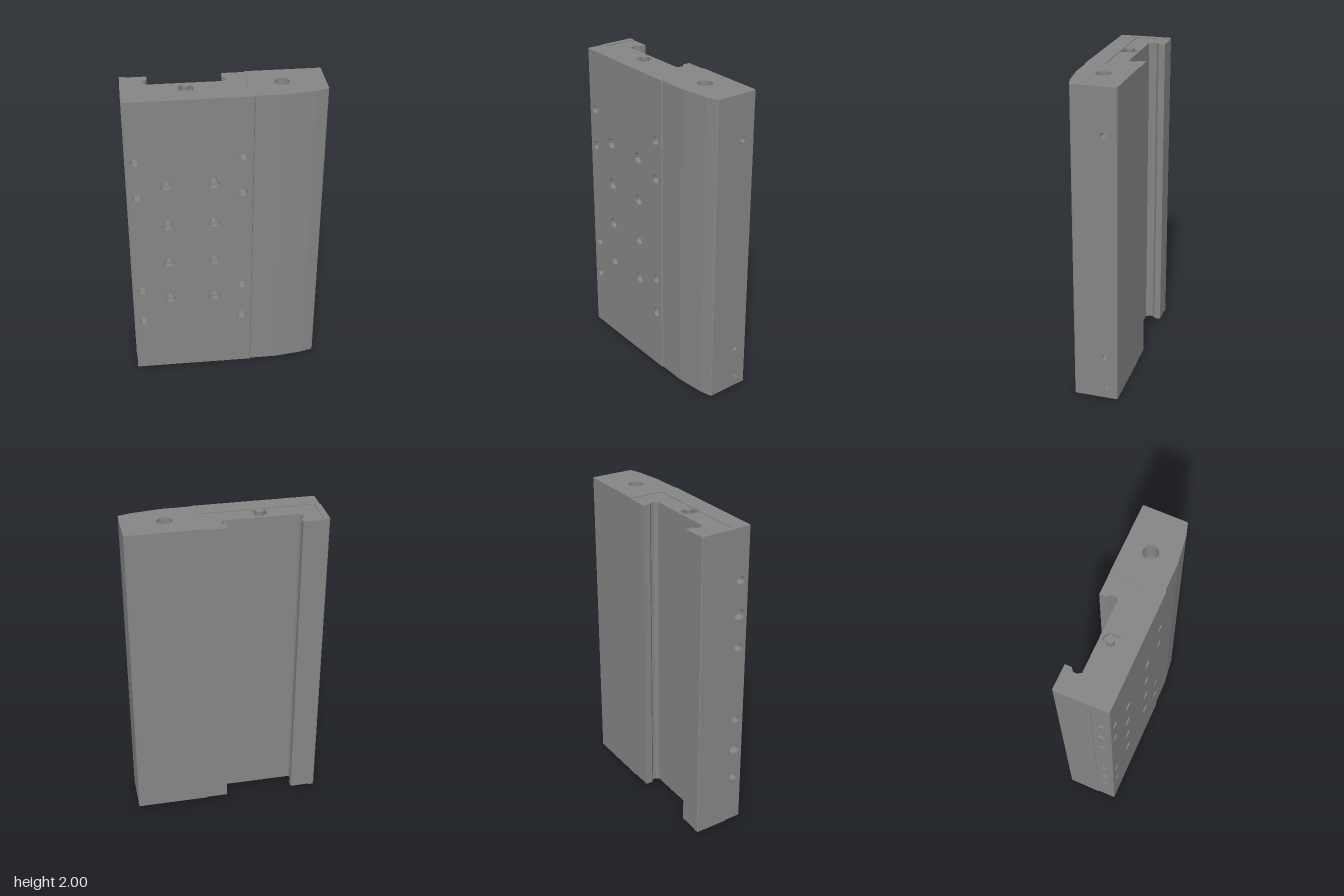
import * as THREE from 'three';
import { toCreasedNormals } from 'three/addons/utils/BufferGeometryUtils.js';

const mat = new THREE.MeshStandardMaterial({ color: 0x868686, side: THREE.DoubleSide });
const Y0 = 0.012, Y1 = 1.988, STEP = 0.005;

// Plan outlines as [x, z], counter-clockwise seen from above
const shell = [
  [-0.592, 0.157], [-0.586, 0.163], [0.16, 0.163], [0.165, 0.156], [0.34, 0.155], [0.52, 0.13],
  [0.592, 0.109], [0.597, 0.103], [0.597, -0.16], [0.592, -0.165], [0.14, -0.165], [0.14, 0.05],
  [-0.56, 0.05], [-0.56, -0.165], [-0.592, -0.165], [-0.597, -0.16], [-0.597, 0.05], [-0.592, 0.052],
];
const rail = [
  [-0.56, 0.05], [0.14, 0.05], [0.14, -0.165], [0.003, -0.165], [0.003, -0.12], [0.025, -0.1],
  [0.025, -0.08], [0.01, -0.06], [-0.445, -0.06], [-0.46, -0.085], [-0.46, -0.105],
  [-0.437, -0.125], [-0.437, -0.165], [-0.56, -0.165],
];

// D-shaped pocket around each end bolt
const BOLT_X = -0.218, pocketR = 0.0415;
const pocket = [[BOLT_X - pocketR, 0.046], [BOLT_X + pocketR, 0.046]];
for (let i = 0; i <= 16; i++) {
  const a = (i / 16) * Math.PI;
  pocket.push([BOLT_X + pocketR * Math.cos(a), -pocketR * Math.sin(a)]);
}

function add(parent, name, geometry) {
  const m = new THREE.Mesh(geometry, mat);
  m.name = name;
  parent.add(m);
  return m;
}

function circle(x, y, r) {
  return new THREE.Path().absarc(x, y, r, 0, Math.PI * 2, true);
}

// Stepped blind hole sunk along -z; steps are [radius, depth]
function bore(parent, x, y, steps) {
  const pts = [];
  let d = 0;
  for (const [r, depth] of steps) {
    pts.push(new THREE.Vector2(r, -d), new THREE.Vector2(r, -depth));
    d = depth;
  }
  pts.push(new THREE.Vector2(0, -d));
  const g = toCreasedNormals(new THREE.LatheGeometry(pts, 24), 0.6);
  g.rotateX(Math.PI / 2);
  add(parent, 'bore', g).position.set(x, y, 0);
}

// Upright panel from a to b, facing right of travel; holes are { at: [x, z], y, steps }
function wall(parent, name, a, b, y0, y1, holes = []) {
  const start = new THREE.Vector3(a[0], y0, a[1]);
  const u = new THREE.Vector3(b[0] - a[0], 0, b[1] - a[1]);
  const w = u.length(), h = y1 - y0;
  u.normalize();
  const up = new THREE.Vector3(0, 1, 0);
  const n = new THREE.Vector3().crossVectors(u, up);
  const panel = new THREE.Group();
  panel.name = name;
  panel.applyMatrix4(new THREE.Matrix4().makeBasis(u, up, n).setPosition(start));
  const shape = new THREE.Shape([[0, 0], [w, 0], [w, h], [0, h]].map(p => new THREE.Vector2(...p)));
  for (const { at, y, steps } of holes) {
    const s = (at[0] - a[0]) * u.x + (at[1] - a[1]) * u.z;
    shape.holes.push(circle(s, y - y0, steps[0][0]));
    bore(panel, s, y - y0, steps);
  }
  add(panel, name + 'Face', new THREE.ShapeGeometry(shape, 12));
  parent.add(panel);
}

// Both ends of the body, mirrored: side = 1 for the top, -1 for the bottom
function end(parent, side) {
  const g = new THREE.Group();
  g.name = side > 0 ? 'topEnd' : 'bottomEnd';
  g.rotation.x = -side * Math.PI / 2;
  g.position.y = side > 0 ? Y1 : Y0;
  const flat = pts => pts.map(([x, z]) => new THREE.Vector2(x, -side * z));

  const rim = new THREE.Shape(flat(shell));
  const hx = 0.342, hy = side * 0.008;
  rim.holes.push(circle(hx, hy, 0.046));
  add(g, 'endRim', new THREE.ShapeGeometry(rim, 12));
  const depth = side > 0 ? 0.14 : 0.012;
  bore(g, hx, hy, [[0.046, depth], [0.037, depth + 0.06]]);

  // Hex socket screw in the bore, shallow at the bottom
  const head = new THREE.Shape().absarc(0, 0, 0.033, 0, Math.PI * 2);
  head.holes.push(new THREE.Path(Array.from({ length: 6 }, (_, i) =>
    new THREE.Vector2(0.021 * Math.sin(i * Math.PI / 3), 0.021 * Math.cos(i * Math.PI / 3)))));
  add(g, 'socketScrew', new THREE.ExtrudeGeometry(head, { depth: 0.055, bevelEnabled: false }))
    .position.set(hx, hy, -depth - 0.06);

  // Slightly sunken end of the rail block with its bolt pocket
  const sunk = new THREE.Shape(flat(rail));
  sunk.holes.push(new THREE.Path(flat(pocket)));
  add(g, 'railEnd', new THREE.ShapeGeometry(sunk)).position.z = -STEP;
  add(g, 'pocketFloor', new THREE.ShapeGeometry(new THREE.Shape(flat(pocket)))).position.z = -STEP - 0.03;
  const bolt = new THREE.CylinderGeometry(0.028, 0.028, 0.052, 6).rotateX(Math.PI / 2);
  add(g, 'hexBolt', bolt).position.set(BOLT_X, 0, -0.014);
  parent.add(g);

  const level = side > 0 ? Y1 - STEP : Y0 + STEP;
  const floor = level - side * 0.03;
  pocket.forEach((p, i) => {
    const q = pocket[(i + 1) % pocket.length];
    wall(parent, 'pocketWall', q, p, Math.min(level, floor), Math.max(level, floor));
  });
}

export function createModel() {
  const model = new THREE.Group();
  model.name = 'slottedBlock';

  // Front: plain holes in the outer columns, counterbored ones between
  const front = [];
  for (const x of [-0.535, 0.102])
    for (const y of [1.6, 1.352, 0.652, 0.405]) front.push({ at: [x, 0.163], y, steps: [[0.027, 0.07]] });
  for (const x of [-0.358, -0.075])
    for (const y of [1.427, 1.143, 0.861, 0.579])
      front.push({ at: [x, 0.163], y, steps: [[0.033, 0.03], [0.021, 0.12]] });

  // Sides
  const left = [1.71, 0.295].map(y => ({ at: [0.597, -0.083], y, steps: [[0.017, 0.08]] }));
  left.push({ at: [0.597, -0.09], y: 0.083, steps: [[0.022, 0.005], [0.012, 0.06]] });
  const right = [1.67, 1.455, 1.245, 0.75, 0.537, 0.33].map((y, i) =>
    ({ at: [-0.592, 0.105], y, steps: [[i % 3 === 1 ? 0.033 : 0.026, 0.05]] }));
  const drilled = { 1: ['frontFace', front], 7: ['leftFace', left], 17: ['rightFace', right] };

  shell.forEach((a, i) => {
    const b = shell[(i + 1) % shell.length];
    if (i >= 10 && i <= 12) {
      // Small steps down to the rail block at both ends
      wall(model, 'endStep', a, b, Y0, Y0 + STEP);
      wall(model, 'endStep', a, b, Y1 - STEP, Y1);
    } else {
      const [name, holes] = drilled[i] || ['bodySide', []];
      wall(model, name, a, b, Y0, Y1, holes);
    }
  });

  // Back faces and the undercut slot
  for (let i = 2; i < rail.length - 1; i++)
    wall(model, 'backSlot', rail[i], rail[i + 1], Y0 + STEP, Y1 - STEP);

  end(model, 1);
  end(model, -1);
  return model;
}
